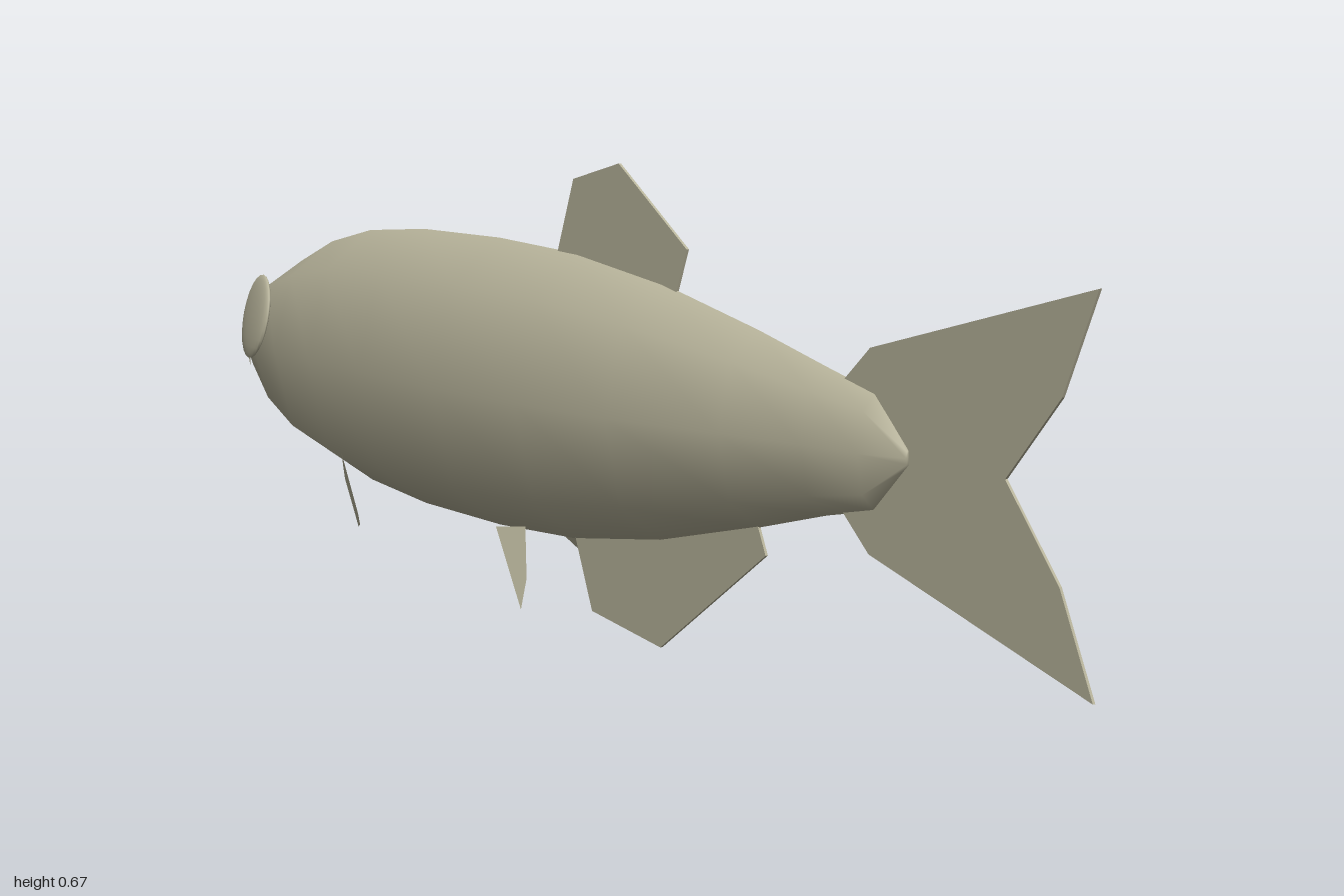
import * as THREE from 'three';

const skin = new THREE.MeshStandardMaterial({ color: 0xb9b59c, side: THREE.DoubleSide });
skin.name = 'pale olive skin';

const named = (name, geometry) => {
  const mesh = new THREE.Mesh(geometry, skin);
  mesh.name = name;
  return mesh;
};

// Body stations from snout to tail root: z, half width, bottom, top
const STATIONS = [
  [-1.0, 0.008, 0.32, 0.355], [-0.975, 0.034, 0.295, 0.372], [-0.93, 0.06, 0.262, 0.402],
  [-0.85, 0.09, 0.206, 0.45], [-0.76, 0.105, 0.162, 0.488], [-0.65, 0.112, 0.134, 0.515],
  [-0.5, 0.116, 0.119, 0.53], [-0.3, 0.117, 0.115, 0.535], [-0.1, 0.111, 0.123, 0.53],
  [0.1, 0.096, 0.15, 0.508], [0.32, 0.067, 0.2, 0.467], [0.47, 0.045, 0.238, 0.434],
  [0.57, 0.03, 0.258, 0.413], [0.64, 0.006, 0.325, 0.348],
];
const SIDES = 8;

// Eight-sided rings joined with smooth normals and capped at both ends
function bodyGeometry() {
  const pos = [], index = [];
  for (const [z, w, lo, hi] of STATIONS) {
    for (let i = 0; i < SIDES; i++) {
      const a = (i / SIDES) * Math.PI * 2;
      pos.push(Math.sin(a) * w, (lo + hi) / 2 + Math.cos(a) * (hi - lo) / 2, z);
    }
  }
  for (let s = 0; s < STATIONS.length - 1; s++) {
    for (let i = 0; i < SIDES; i++) {
      const a = s * SIDES + i, b = s * SIDES + (i + 1) % SIDES;
      index.push(a, a + SIDES, b, b, a + SIDES, b + SIDES);
    }
  }
  const last = (STATIONS.length - 1) * SIDES;
  for (let i = 1; i < SIDES - 1; i++) {
    index.push(0, i, i + 1, last, last + i + 1, last + i);
  }
  const g = new THREE.BufferGeometry();
  g.setAttribute('position', new THREE.Float32BufferAttribute(pos, 3));
  // Outward winding, as x runs with sin and the stations run towards +z
  for (let k = 0; k < index.length; k += 3) [index[k + 1], index[k + 2]] = [index[k + 2], index[k + 1]];
  const p = g.attributes.position, v = [0, 1, 2].map(k => new THREE.Vector3().fromBufferAttribute(p, index[6 * SIDES * 6 + k]));
  const n = v[1].clone().sub(v[0]).cross(v[2].clone().sub(v[0]));
  if (n.y < 0) index.reverse();
  g.setIndex(index);
  g.computeVertexNormals();
  return g;
}

// Thin upright fin in the middle plane, from [z, y] points
function midFin(name, points) {
  const shape = new THREE.Shape(points.map(([z, y]) => new THREE.Vector2(-z, y)));
  const g = new THREE.ExtrudeGeometry(shape, { depth: 0.004, bevelEnabled: false });
  g.translate(0, 0, -0.002).rotateY(Math.PI / 2);
  return named(name, g);
}

// Flat paired fin from [x, y, z] points, mirrored by side
function sideFin(name, points, side) {
  const pos = [];
  for (let i = 1; i < points.length - 1; i++) {
    const tri = side > 0 ? [0, i, i + 1] : [0, i + 1, i];
    for (const k of tri) pos.push(points[k][0] * side, points[k][1], points[k][2]);
  }
  const g = new THREE.BufferGeometry();
  g.setAttribute('position', new THREE.Float32BufferAttribute(pos, 3));
  g.computeVertexNormals();
  return named(name, g);
}

export function createModel() {
  const fish = new THREE.Group();
  fish.name = 'fish';
  fish.add(named('body', bodyGeometry()));

  // Middle fins
  fish.add(midFin('tailFin', [[0.48, 0.4], [0.56, 0.47], [1, 0.59], [0.935, 0.45], [0.83, 0.335],
    [0.935, 0.215], [1, 0.08], [0.56, 0.2], [0.48, 0.27]]));
  fish.add(midFin('dorsalFin', [[0.12, 0.46], [0.16, 0.56], [0, 0.665], [-0.11, 0.635], [-0.16, 0.5]]));
  fish.add(midFin('analFin', [[0.31, 0.23], [0.34, 0.165], [0.1, 0], [-0.065, 0.025], [-0.12, 0.16]]));

  for (const side of [1, -1]) {
    const label = side > 0 ? 'left' : 'right';
    // Paired fins under the chest and belly
    fish.add(sideFin(label + 'PectoralFin', [[0.083, 0.19, -0.605], [0.166, 0.13, -0.425],
      [0.166, 0.115, -0.42], [0.128, 0.098, -0.485], [0.08, 0.15, -0.6]], side));
    fish.add(sideFin(label + 'PelvicFin', [[0.041, 0.134, -0.175], [0.045, 0.125, -0.245],
      [0.093, 0.03, -0.11], [0.073, 0.07, -0.125]], side));
    // Low domed eye following the slope of the head
    const eye = named(label + 'Eye', new THREE.SphereGeometry(1, 20, 12));
    eye.scale.set(0.01, 0.065, 0.06);
    eye.position.set(side * 0.086, 0.37, -0.845);
    eye.rotation.set(0, side * 0.26, side * 0.2);
    fish.add(eye);
    // Mouth corner: a small crease running back from the snout
    fish.add(sideFin(label + 'MouthCrease', [[0.004, 0.337, -1.0], [0.066, 0.318, -0.91],
      [0.05, 0.28, -0.925]], side));
  }
  return fish;
}
